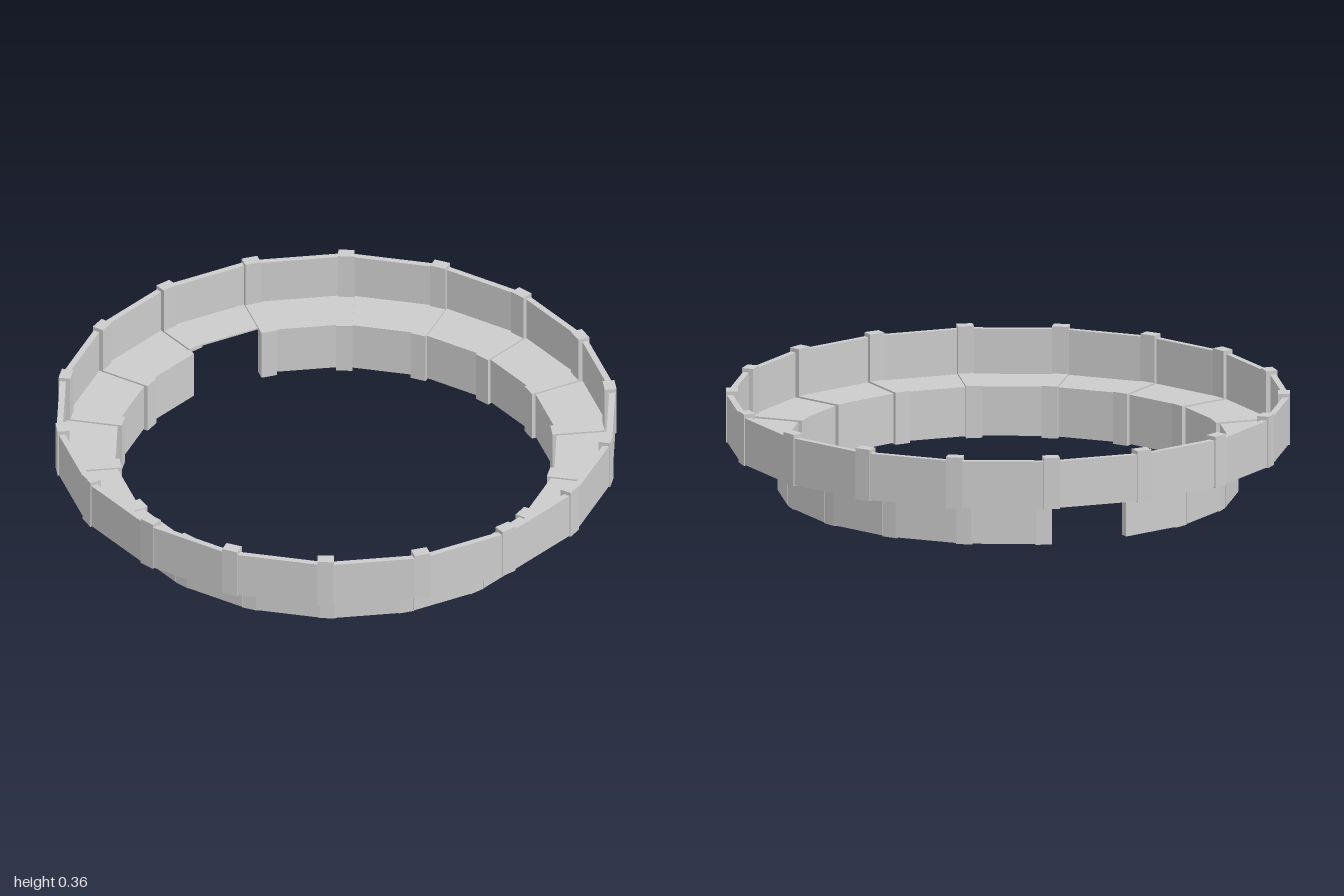
import * as THREE from 'three';

const SIDES = 18;
const STEP = (Math.PI * 2) / SIDES;
const START = THREE.MathUtils.degToRad(2.5);
const RIB_HALF = 0.029;
const GAP = 13; // bay whose lower wall is left open

const polygon = (points) => new THREE.Shape(points.map(([x, y]) => new THREE.Vector2(x, y)));

// Straight slab of one bay, mitred to fit between two ribs; radial direction is +x
function slab(r0, r1, y0, y1) {
  const half = (r) => r * Math.tan(STEP / 2) - (RIB_HALF - 0.002) / Math.cos(STEP / 2);
  const shape = polygon([[r0, -half(r0)], [r1, -half(r1)], [r1, half(r1)], [r0, half(r0)]]);
  const geo = new THREE.ExtrudeGeometry(shape, { depth: y1 - y0, bevelEnabled: false });
  geo.rotateX(-Math.PI / 2);
  geo.translate(0, y0, 0);
  return geo;
}

// Rib cut from a radial profile (distance from centre, height)
function rib(points) {
  const geo = new THREE.ExtrudeGeometry(polygon(points), { depth: RIB_HALF * 2, bevelEnabled: false });
  geo.translate(0, 0, -RIB_HALF);
  return geo;
}

export function createModel() {
  const group = new THREE.Group();
  group.name = 'steppedRing';
  const material = new THREE.MeshStandardMaterial({ color: 0xcccccc, flatShading: true });

  const upperWall = slab(0.963, 0.985, 0.178, 0.348);
  const floor = slab(0.808, 0.97, 0.177, 0.184);
  const lowerWall = slab(0.778, 0.809, 0.004, 0.184);

  // Stepped bracket: upper post, floor strip, lower post
  const upperPart = [[0.9995, 0.175], [0.9995, 0.362], [0.957, 0.362], [0.957, 0.19]];
  const fullRib = rib([[0.77, 0], [0.814, 0], [0.814, 0.175], ...upperPart, [0.77, 0.19]]);
  const shortRib = rib([[0.809, 0.175], ...upperPart, [0.809, 0.19]]);

  const add = (name, geometry, angle) => {
    const mesh = new THREE.Mesh(geometry, material);
    mesh.name = name;
    mesh.rotation.y = -angle;
    group.add(mesh);
  };

  for (let i = 0; i < SIDES; i++) {
    const ribAngle = START + i * STEP;
    const bayAngle = ribAngle + STEP / 2;
    add('rib', i === GAP ? shortRib : fullRib, ribAngle);
    add('upperWall', upperWall, bayAngle);
    add('floor', floor, bayAngle);
    if (i !== GAP) add('lowerWall', lowerWall, bayAngle);
  }
  return group;
}
